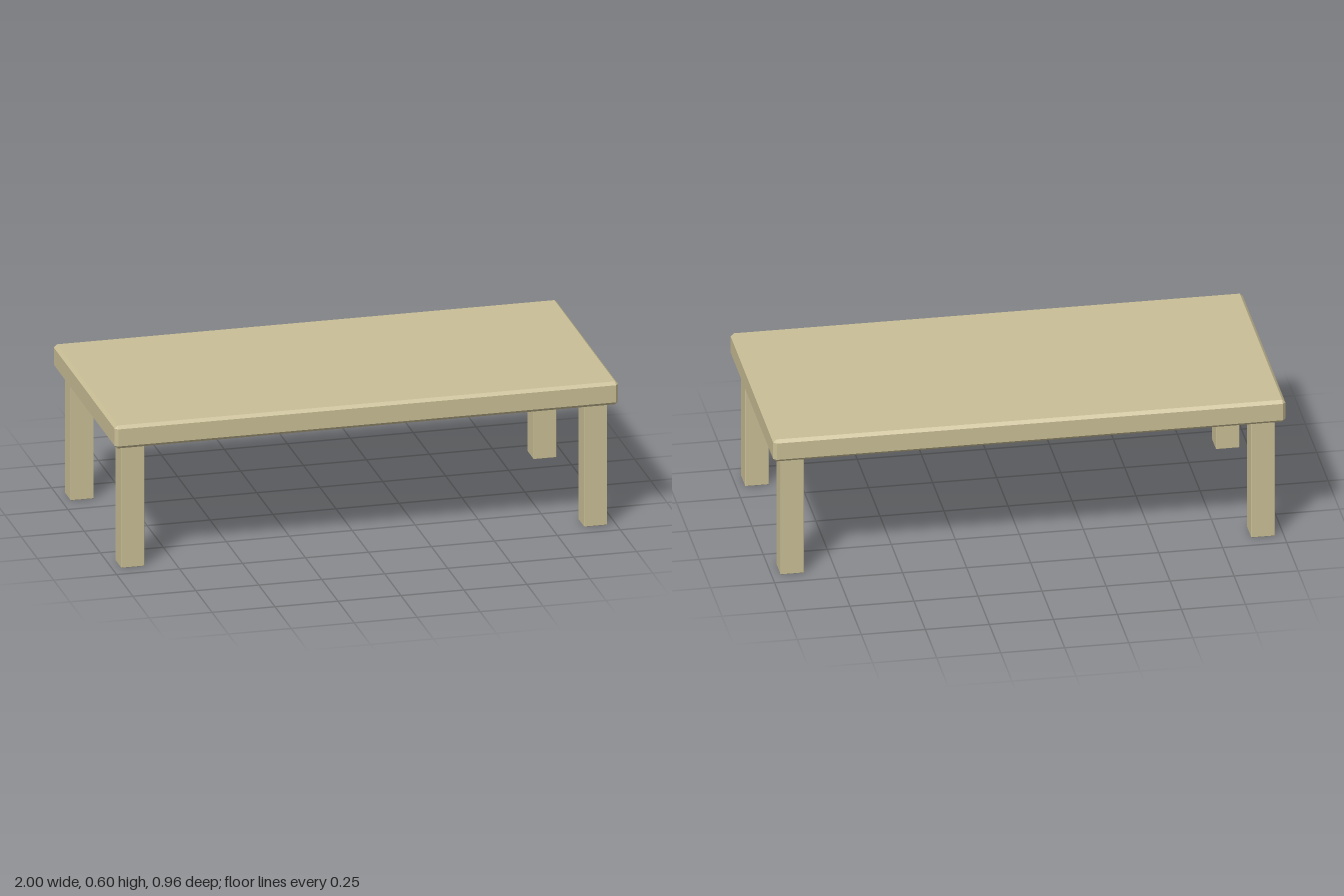
import * as THREE from 'three';
import { ConvexGeometry } from 'three/addons/geometries/ConvexGeometry.js';

const wood = new THREE.MeshStandardMaterial({ color: 0xc9be96, flatShading: true });

// Box with every edge and corner cut flat by the chamfer c
function chamferedBox(name, w, h, d, c) {
  const points = [];
  for (const x of [-w / 2, w / 2])
    for (const y of [-h / 2, h / 2])
      for (const z of [-d / 2, d / 2]) {
        const cx = c * Math.sign(x), cy = c * Math.sign(y), cz = c * Math.sign(z);
        points.push(
          new THREE.Vector3(x, y - cy, z - cz),
          new THREE.Vector3(x - cx, y, z - cz),
          new THREE.Vector3(x - cx, y - cy, z)
        );
      }
  const mesh = new THREE.Mesh(new ConvexGeometry(points), wood);
  mesh.name = name;
  return mesh;
}

export function createModel() {
  const table = new THREE.Group();
  table.name = 'lowTable';

  // Table top
  const topBase = 0.504, topHeight = 0.094;
  const top = chamferedBox('tableTop', 2, topHeight, 0.96, 0.012);
  top.position.y = topBase + topHeight / 2;
  table.add(top);

  // Four square legs, set in slightly from the corners
  for (const [sx, side] of [[1, 'Left'], [-1, 'Right']])
    for (const [sz, end] of [[1, 'front'], [-1, 'back']]) {
      const leg = chamferedBox(end + side + 'Leg', 0.092, topBase + 0.004, 0.092, 0.002);
      leg.position.set(sx * 0.919, (topBase + 0.004) / 2, sz * 0.389);
      table.add(leg);
    }

  return table;
}
